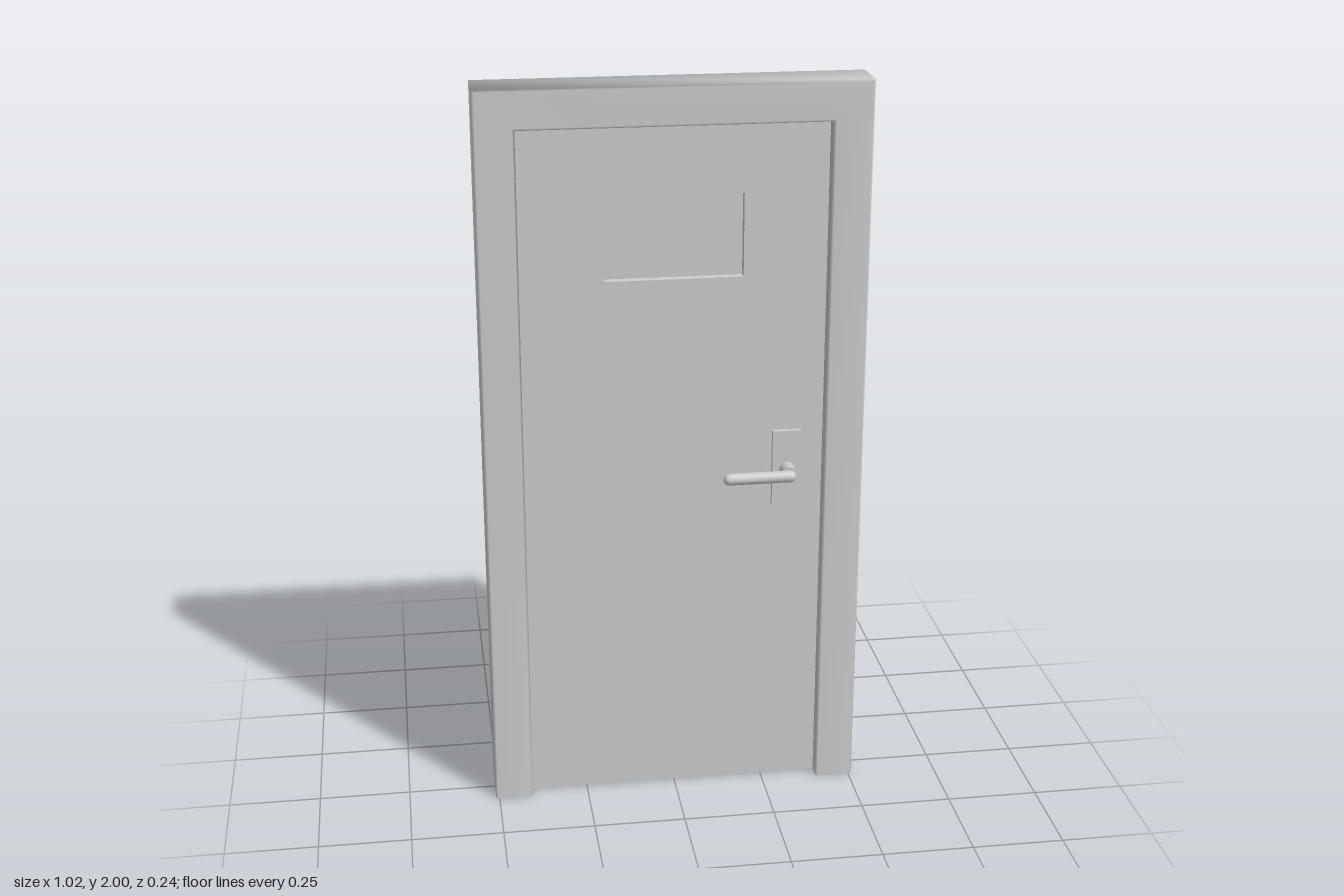
import * as THREE from 'three';

const grey = new THREE.MeshStandardMaterial({ color: 0xcccccc });
grey.name = 'light grey';

function part(name, geometry, x = 0, y = 0, z = 0) {
  const mesh = new THREE.Mesh(geometry, grey);
  mesh.name = name;
  mesh.position.set(x, y, z);
  return mesh;
}

// Bevelled rectangular section swept up, across and down, with mitred corners
function frameGeometry() {
  const h = 0.07, w = 0.105, b = 0.006;
  const section = [[-h + b, 0], [h - b, 0], [h, b], [h, w - b], [h - b, w], [-h + b, w], [-h, w - b], [-h, b]];
  const stations = [[-0.51, 0, 1, 0], [-0.51, 2, 1, -1], [0.51, 2, -1, -1], [0.51, 0, -1, 0]];
  const n = section.length, pos = [], index = [];
  const addRing = ([x, y, dx, dy]) => section.forEach(([z, d]) => pos.push(x + dx * d, y + dy * d, z));
  stations.forEach(addRing);
  for (let i = 0; i < 3; i++) {
    for (let j = 0; j < n; j++) {
      const a = i * n + j, c = i * n + (j + 1) % n;
      index.push(a, c, c + n, a, c + n, a + n);
    }
  }
  // Flat feet
  addRing(stations[0]);
  addRing(stations[3]);
  for (let j = 1; j < n - 1; j++) {
    index.push(4 * n, 4 * n + j + 1, 4 * n + j);
    index.push(5 * n, 5 * n + j, 5 * n + j + 1);
  }
  const g = new THREE.BufferGeometry();
  g.setAttribute('position', new THREE.Float32BufferAttribute(pos, 3));
  g.setIndex(index);
  g.computeVertexNormals();
  return g;
}

// Door panel with a window opening
function doorGeometry(half) {
  const rect = (p, x0, y0, x1, y1) => p.moveTo(x0, y0).lineTo(x1, y0).lineTo(x1, y1).lineTo(x0, y1).closePath();
  const shape = rect(new THREE.Shape(), -0.404, 0.003, 0.404, 1.895);
  shape.holes.push(rect(new THREE.Path(), -0.183, 1.487, 0.183, 1.71));
  return new THREE.ExtrudeGeometry(shape, { depth: 2 * half, bevelEnabled: false }).translate(0, 0, -half);
}

// Backplate, spindle and lever for one side
function handle(name, side, half) {
  const group = new THREE.Group();
  group.name = name;
  const plate = 0.014, tip = 0.088;
  const spindleLength = tip - half;
  group.add(
    part('backplate', new THREE.BoxGeometry(0.08, 0.215, plate), 0.306, 0.948, side * (half + plate / 2)),
    part('spindle', new THREE.CylinderGeometry(0.02, 0.02, spindleLength, 24).rotateX(Math.PI / 2),
      0.306, 0.946, side * (half + spindleLength / 2)),
    part('lever', new THREE.CapsuleGeometry(0.016, 0.165, 6, 16).rotateZ(Math.PI / 2), 0.222, 0.946, side * 0.103)
  );
  return group;
}

export function createModel() {
  const model = new THREE.Group();
  model.name = 'door';
  const half = 0.034;
  model.add(
    part('doorFrame', frameGeometry()),
    part('doorPanel', doorGeometry(half)),
    part('windowPane', new THREE.BoxGeometry(0.366, 0.223, 0.02), 0, 1.5985, 0),
    handle('frontHandle', 1, half),
    handle('backHandle', -1, half)
  );
  return model;
}
